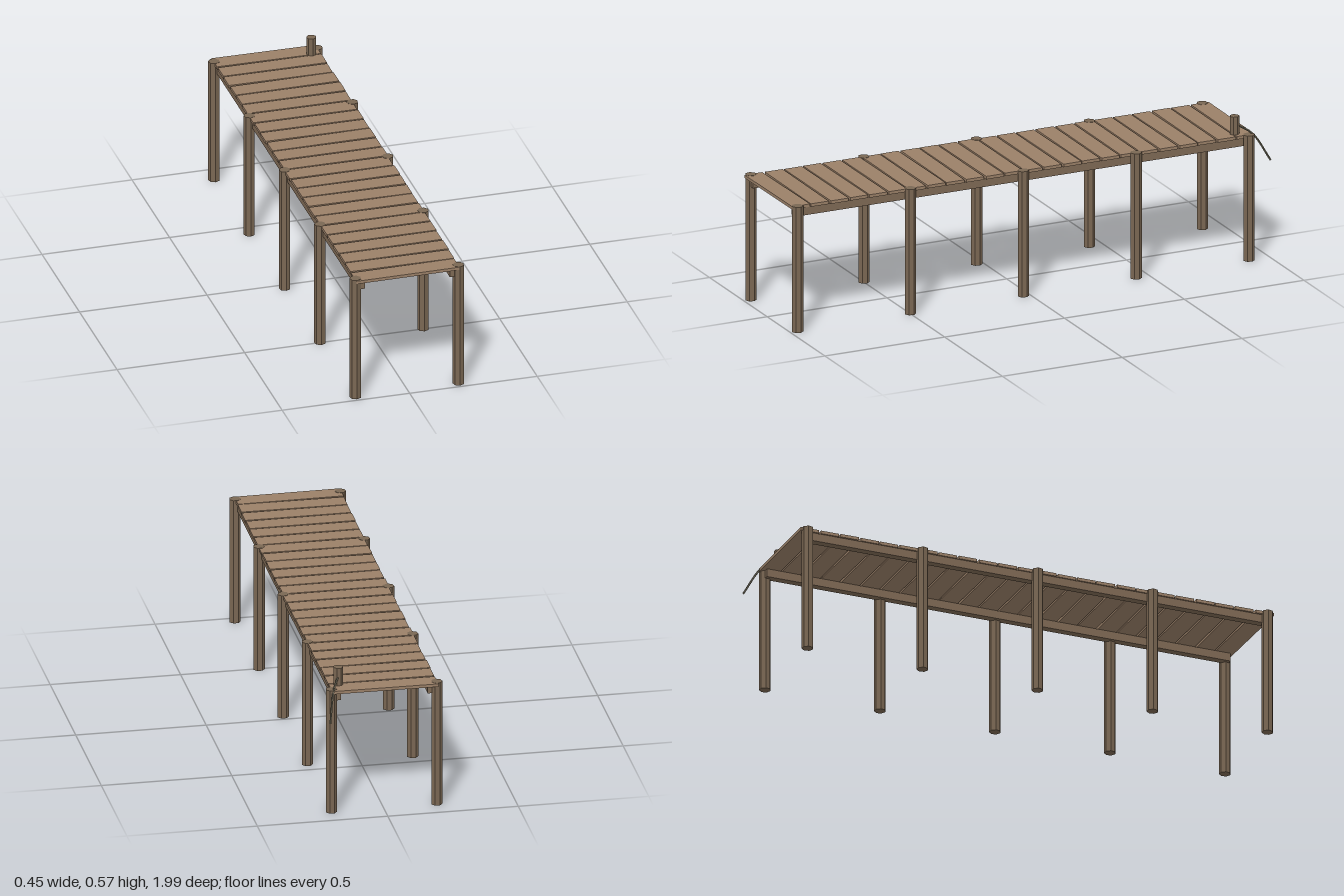
import * as THREE from 'three';

export function createModel() {
  const pier = new THREE.Group();
  pier.name = 'pier';

  const material = (color) => new THREE.MeshStandardMaterial({ color, flatShading: true });
  const postWood = material(0x7a6753);
  const beamWood = material(0x7f6a55);
  const plankWood = material(0x9a8068);
  const ropeFibre = material(0x6b6656);

  // small seeded generator, returns -1..1
  let seed = 7;
  const jitter = () => {
    seed = (seed * 16807) % 2147483647;
    return (seed / 2147483647) * 2 - 1;
  };

  const add = (name, geometry, mat, x, y, z) => {
    const mesh = new THREE.Mesh(geometry, mat);
    mesh.name = name;
    mesh.position.set(x, y, z);
    pier.add(mesh);
    return mesh;
  };

  const centreX = -0.002;
  const deckTop = 0.499;

  // five pairs of seven-sided posts, and a beam just inside each row
  const postGeometry = new THREE.CylinderGeometry(0.022, 0.022, 0.5, 7);
  const beamGeometry = new THREE.BoxGeometry(0.03, 0.032, 1.9);
  for (const side of [-1, 1]) {
    const row = side > 0 ? 'left' : 'right';
    for (let i = 0; i < 5; i++) {
      add(`${row}Post${i + 1}`, postGeometry, postWood, centreX + side * 0.202, 0.25, 0.97 - i * 0.471);
    }
    add(`${row}Beam`, beamGeometry, beamWood, centreX + side * 0.181, 0.471, 0.028);
  }

  // deck planks, each laid slightly askew
  const planks = 24;
  const plankGeometry = new THREE.BoxGeometry(0.406, 0.012, 0.074);
  for (let i = 0; i < planks; i++) {
    const z = 0.956 - (i * 1.859) / (planks - 1);
    const plank = add(`plank${i + 1}`, plankGeometry, plankWood, centreX + jitter() * 0.002, deckTop - 0.006, z);
    plank.rotation.y = jitter() * 0.012;
  }

  // mooring bollard at the far left corner
  add('bollard', new THREE.CylinderGeometry(0.019, 0.019, 0.075, 7), postWood, 0.165, 0.5325, -0.871);

  // rope running from the bollard over the end of the deck
  const ropePath = new THREE.CatmullRomCurve3([
    new THREE.Vector3(0.168, 0.533, -0.882),
    new THREE.Vector3(0.194, 0.5, -0.932),
    new THREE.Vector3(0.219, 0.392, -0.996),
  ]);
  add('rope', new THREE.TubeGeometry(ropePath, 8, 0.004, 5), ropeFibre, 0, 0, 0);

  return pier;
}
